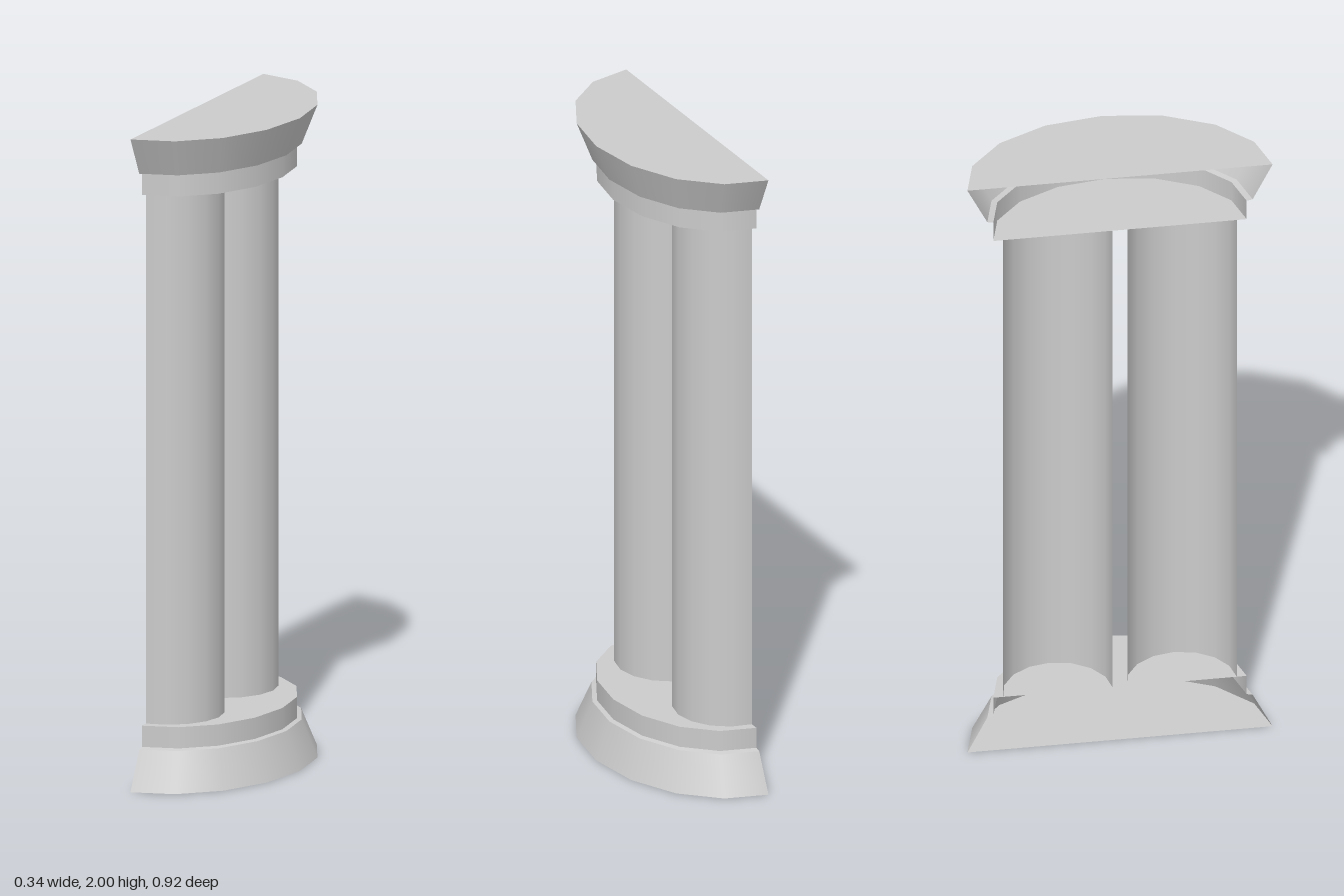
import * as THREE from 'three';

const BACK = -0.17;   // plane of the open, flat back
const OVAL = 0.738;   // depth of the half oval relative to its width
const HEIGHT = 2;

const material = new THREE.MeshStandardMaterial({ color: 0xcccccc, side: THREE.DoubleSide });

// Half-turned surface between two [radius, y] points, bulging toward +x
function halfBand(name, from, to, sides, depth = 1, z = 0) {
  const points = [new THREE.Vector2(...from), new THREE.Vector2(...to)];
  const geometry = new THREE.LatheGeometry(points, sides, 0, Math.PI);
  geometry.scale(depth, 1, 1);
  geometry.translate(BACK, 0, z);
  const mesh = new THREE.Mesh(geometry, material);
  mesh.name = name;
  return mesh;
}

// Moulding built from separate bands so that edges between them stay sharp
function moulding(name, profile, bandNames) {
  const group = new THREE.Group();
  group.name = name;
  bandNames.forEach((band, i) => {
    group.add(halfBand(band, profile[i], profile[i + 1], 8, OVAL));
  });
  return group;
}

export function createModel() {
  const model = new THREE.Group();
  model.name = 'halfColumnPair';

  // Base: floor, flared foot, small step, upright collar, top
  const profile = [[0, 0], [0.46, 0], [0.4, 0.118], [0.382, 0.122], [0.382, 0.187], [0, 0.187]];
  const names = ['outerFace', 'flare', 'step', 'collar', 'innerFace'];
  model.add(moulding('base', profile, names));

  // Capital: the base turned upside down
  const flipped = profile.map(([r, y]) => [r, HEIGHT - y]).reverse();
  model.add(moulding('capital', flipped, [...names].reverse()));

  // Two half-round shafts, open at the back
  for (const side of [1, -1]) {
    const name = side > 0 ? 'frontShaft' : 'backShaft';
    model.add(halfBand(name, [0.165, 0.187], [0.165, HEIGHT - 0.187], 8, 0.98, side * 0.187));
  }
  return model;
}
